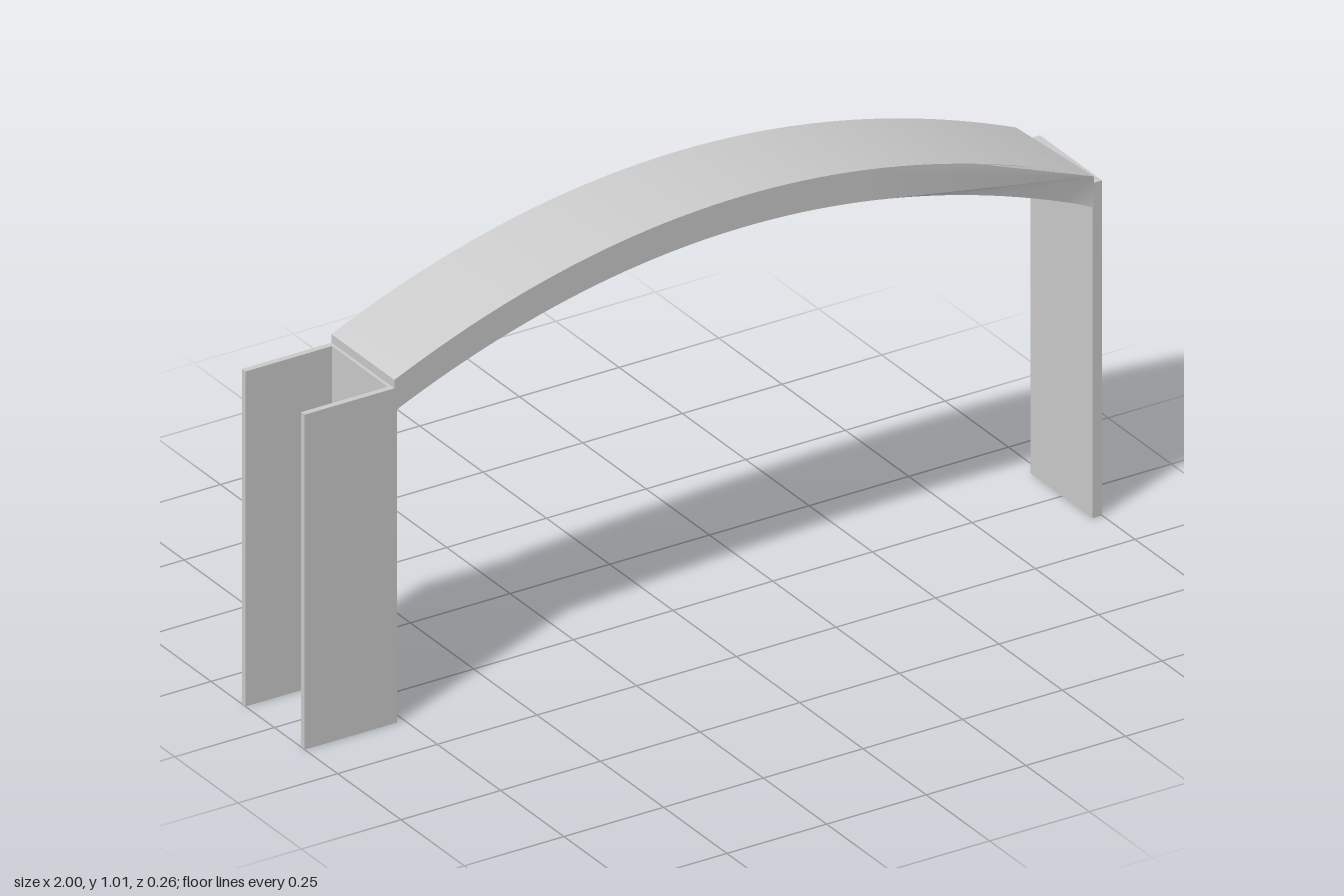
import * as THREE from 'three';
import { toCreasedNormals } from 'three/addons/utils/BufferGeometryUtils.js';

const grey = new THREE.MeshStandardMaterial({ color: 0xcccccc });

// Box given by its lower and upper corners
function slab(name, [x0, y0, z0], [x1, y1, z1]) {
  const geometry = new THREE.BoxGeometry(x1 - x0, y1 - y0, z1 - z0);
  geometry.translate((x0 + x1) / 2, (y0 + y1) / 2, (z0 + z1) / 2);
  const mesh = new THREE.Mesh(geometry, grey);
  mesh.name = name;
  return mesh;
}

// Upper edge of the arched beam
const LEFT = 0.975, RIGHT = -0.775, THICK = 0.075;
const archY = (x) => 1.015 - 0.195 * ((x - 0.1) / 0.875) ** 2;

function archBeam() {
  const steps = 48;
  const top = [], bottom = [];
  for (let i = 0; i <= steps; i++) {
    const x = THREE.MathUtils.lerp(RIGHT, LEFT, i / steps);
    top.push(new THREE.Vector2(x, archY(x)));
    bottom.push(new THREE.Vector2(x, archY(x) - THICK));
  }
  const shape = new THREE.Shape([...bottom, ...top.reverse()]);
  const geometry = new THREE.ExtrudeGeometry(shape, { depth: 1, bevelEnabled: false });

  // Slight taper at the back, and a skewed cut at the left end
  const p = geometry.attributes.position;
  for (let i = 0; i < p.count; i++) {
    const x = p.getX(i), front = p.getZ(i) > 0.5, atEnd = x > LEFT - 1e-4;
    const t = (x - RIGHT) / (LEFT - RIGHT);
    p.setZ(i, front ? (atEnd ? 0.128 : 0.12) : THREE.MathUtils.lerp(-0.129, -0.125, t));
    if (atEnd && !front) {
      const cutX = 0.94;
      p.setX(i, cutX);
      p.setY(i, p.getY(i) + archY(cutX) - archY(LEFT));
    }
  }
  const mesh = new THREE.Mesh(toCreasedNormals(geometry, 0.4), grey);
  mesh.name = 'archBeam';
  return mesh;
}

export function createModel() {
  const model = new THREE.Group();
  model.name = 'archedPortal';

  // Channel-shaped pier, open to the outside
  const pier = new THREE.Group();
  pier.name = 'channelPier';
  pier.add(
    slab('pierFrontPlate', [-1, 0, 0.106], [-0.783, 0.8, 0.12]),
    slab('pierBackPlate', [-1, 0, -0.128], [-0.783, 0.8, -0.114]),
    slab('pierWeb', [-0.783, 0, -0.128], [-0.769, 0.8, 0.12]),
  );

  // Single flat wall on the other side
  model.add(pier, slab('leftWall', [0.976, 0, -0.125], [1, 0.8, 0.12]), archBeam());
  return model;
}
